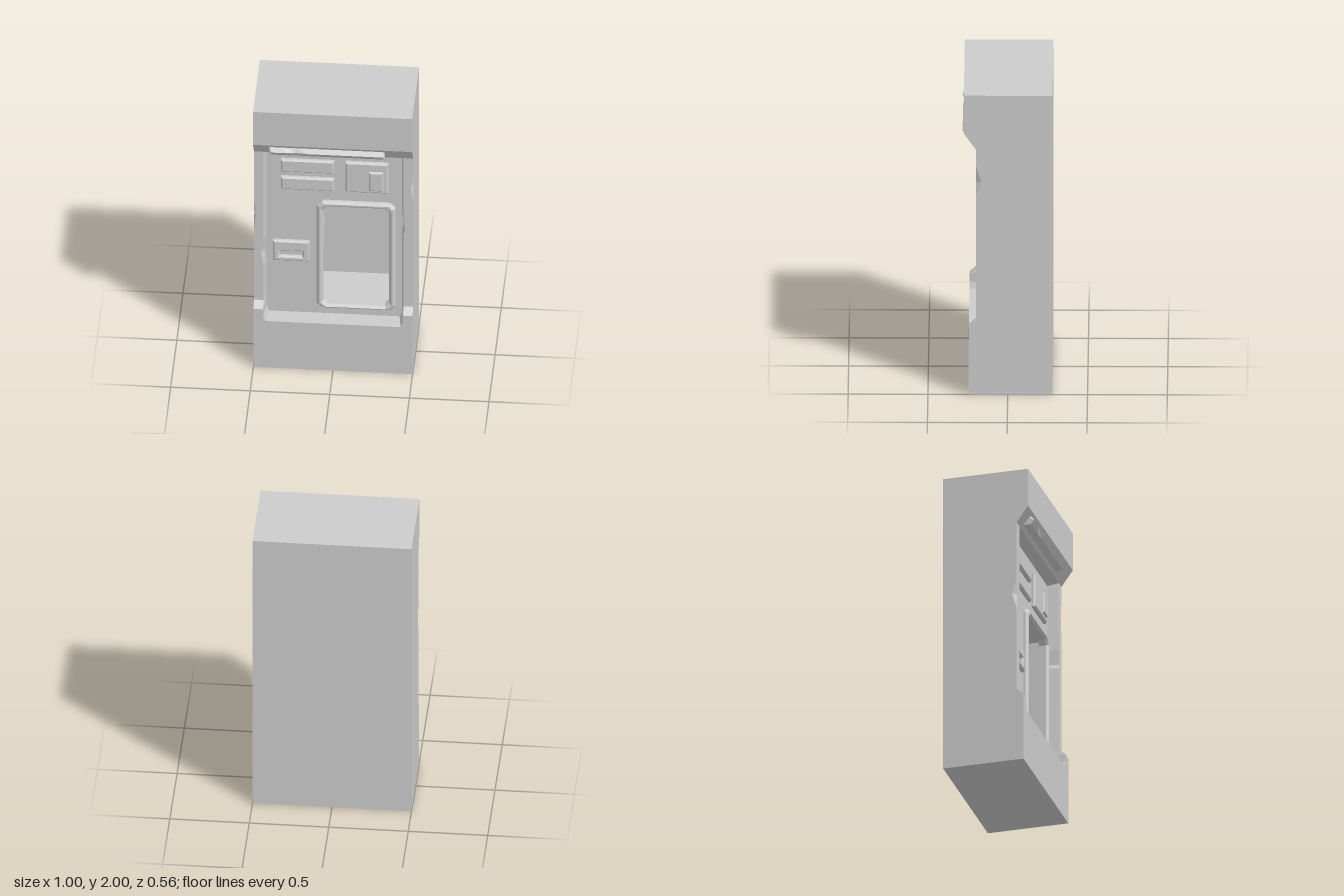
import * as THREE from 'three';

const PANEL = 0.13, BACK = -0.28, CAVITY = -0.22;

export function createModel() {
  const model = new THREE.Group();
  const mat = new THREE.MeshStandardMaterial({ color: 0xcccccc, flatShading: true });

  const add = (name, geo, x = 0, y = 0, z = 0) => {
    const m = new THREE.Mesh(geo, mat);
    m.name = name;
    m.position.set(x, y, z);
    model.add(m);
    return m;
  };

  // rectangle with optional cut corners
  const outline = (Type, x0, x1, y0, y1, c = 0) => {
    const p = c
      ? [[x0 + c, y0], [x1 - c, y0], [x1, y0 + c], [x1, y1 - c], [x1 - c, y1], [x0 + c, y1], [x0, y1 - c], [x0, y0 + c]]
      : [[x0, y0], [x1, y0], [x1, y1], [x0, y1]];
    return new Type(p.map(([x, y]) => new THREE.Vector2(x, y)));
  };

  // flat slab between two depths, with an optional hole
  const slab = (name, rect, z0, z1, hole) => {
    const s = outline(THREE.Shape, ...rect);
    if (hole) s.holes.push(outline(THREE.Path, ...hole));
    add(name, new THREE.ExtrudeGeometry(s, { depth: z1 - z0, bevelEnabled: false }), 0, 0, z0);
  };

  // raised plate with a bevelled front edge, with an optional hole
  const plate = (name, rect, z0, height, bevel, hole) => {
    const s = outline(THREE.Shape, ...rect);
    if (hole) s.holes.push(outline(THREE.Path, ...hole));
    const geo = new THREE.ExtrudeGeometry(s, {
      depth: height, bevelEnabled: true, bevelSegments: 1,
      bevelSize: bevel, bevelThickness: bevel, bevelOffset: -bevel,
    });
    add(name, geo, 0, 0, z0 - bevel);
  };

  // solid skinned through closed rings, capped at both ends
  const loft = (rings) => {
    const n = rings[0].length, idx = [], last = (rings.length - 1) * n;
    for (let i = 0; i < rings.length - 1; i++)
      for (let j = 0; j < n; j++) {
        const k = (j + 1) % n, a = i * n + j, b = i * n + k;
        idx.push(a, b, b + n, a, b + n, a + n);
      }
    for (let j = 1; j < n - 1; j++) idx.push(0, j + 1, j, last, last + j, last + j + 1);
    const g = new THREE.BufferGeometry();
    g.setAttribute('position', new THREE.Float32BufferAttribute(rings.flat(2), 3));
    g.setIndex(idx);
    const flat = g.toNonIndexed();
    flat.computeVertexNormals();
    return flat;
  };

  // cabinet: back, hollow middle and front panel
  const full = [-0.5, 0.5, 0, 2];
  const opening = [-0.07, 0.345, 0.445, 1.2, 0.025];
  slab('cabinetBack', full, BACK, CAVITY);
  slab('cabinetBody', full, CAVITY, 0.1, [-0.11, 0.385, 0.43, 1.22]);
  slab('frontPanel', full, 0.1, PANEL, opening);

  // base and overhanging header
  slab('base', [-0.5, 0.5, 0, 0.36], PANEL, 0.245);
  const header = [[0.13, 2], [0.275, 2], [0.275, 1.745], [0.2, 1.64], [0.13, 1.622]];
  add('header', loft([-0.5, 0.5].map((x) => header.map(([z, y]) => [x, y, z]))));

  // side rails with chipped edges: y, front z, inner x, chipped outer x, chipped side z
  const foot = [
    [0.36, 0.245, 0.425], [0.4, 0.245, 0.44], [0.45, 0.245, 0.44], [0.49, 0.2, 0.44],
  ];
  const rails = {
    rightRail: {
      side: -1,
      rows: [[0.76, 0.2, 0.44], [0.85, 0.2, 0.455], [0.95, 0.2, 0.44], [1.05, 0.2, 0.44],
        [1.15, 0.2, 0.44, 0.488, 0.17], [1.25, 0.2, 0.44]],
    },
    leftRail: {
      side: 1,
      rows: [[1.05, 0.2, 0.44], [1.08, 0.2, 0.45], [1.18, 0.2, 0.44], [1.32, 0.2, 0.44],
        [1.42, 0.2, 0.44, 0.484, 0.165], [1.53, 0.2, 0.44]],
    },
  };
  for (const [name, { side, rows }] of Object.entries(rails)) {
    const rings = [...foot, ...rows, [1.66, 0.2, 0.44]].map(([y, z, xi, xc = 0.499, zc = z - 0.001]) => {
      const ring = [[xi - 0.015, PANEL], [xi, z], [xc, z], [0.5, zc], [0.5, PANEL]]
        .map(([x, pz]) => [side * x, y, pz]);
      return side > 0 ? ring : ring.reverse();
    });
    add(name, loft(rings));
  }

  // light bar under the header, tapered ends and a dent in its edge
  const bar = [[-0.4, 0.268], [-0.385, 0.284], [-0.3, 0.284], [-0.24, 0.276], [-0.16, 0.284], [0.31, 0.284], [0.325, 0.268]];
  add('lightBar', loft(bar.map(([x, tip]) =>
    [[x, 1.725, 0.255], [x, 1.698, tip], [x, 1.667, 0.262], [x, 1.66, 0.2]])));

  // window frame
  plate('windowFrame', [-0.11, 0.385, 0.415, 1.24, 0.035], PANEL, 0.03, 0.015, opening);

  // display plates, control box and coin plate
  for (const y of [1.32, 1.455]) plate('displayPlate', [-0.335, 0, y, y + 0.095], PANEL, 0.025, 0.01);
  plate('controlBox', [0.07, 0.34, 1.32, 1.55], PANEL, 0.025, 0.01);
  plate('controlButton', [0.22, 0.31, 1.345, 1.49], PANEL + 0.025, 0.014, 0.009);
  plate('coinPlate', [-0.385, -0.155, 0.765, 0.92], PANEL, 0.025, 0.01, [-0.345, -0.2, 0.802, 0.842]);

  // lever on the inner side wall of the cavity
  add('leverMount', new THREE.BoxGeometry(0.012, 0.2, 0.06), -0.104, 0.86, -0.03);
  add('leverRod', new THREE.CylinderGeometry(0.011, 0.011, 0.18, 8), -0.088, 0.86, -0.03);
  add('leverKnob', new THREE.CylinderGeometry(0.018, 0.018, 0.045, 8), -0.09, 0.96, -0.03);

  return model;
}
